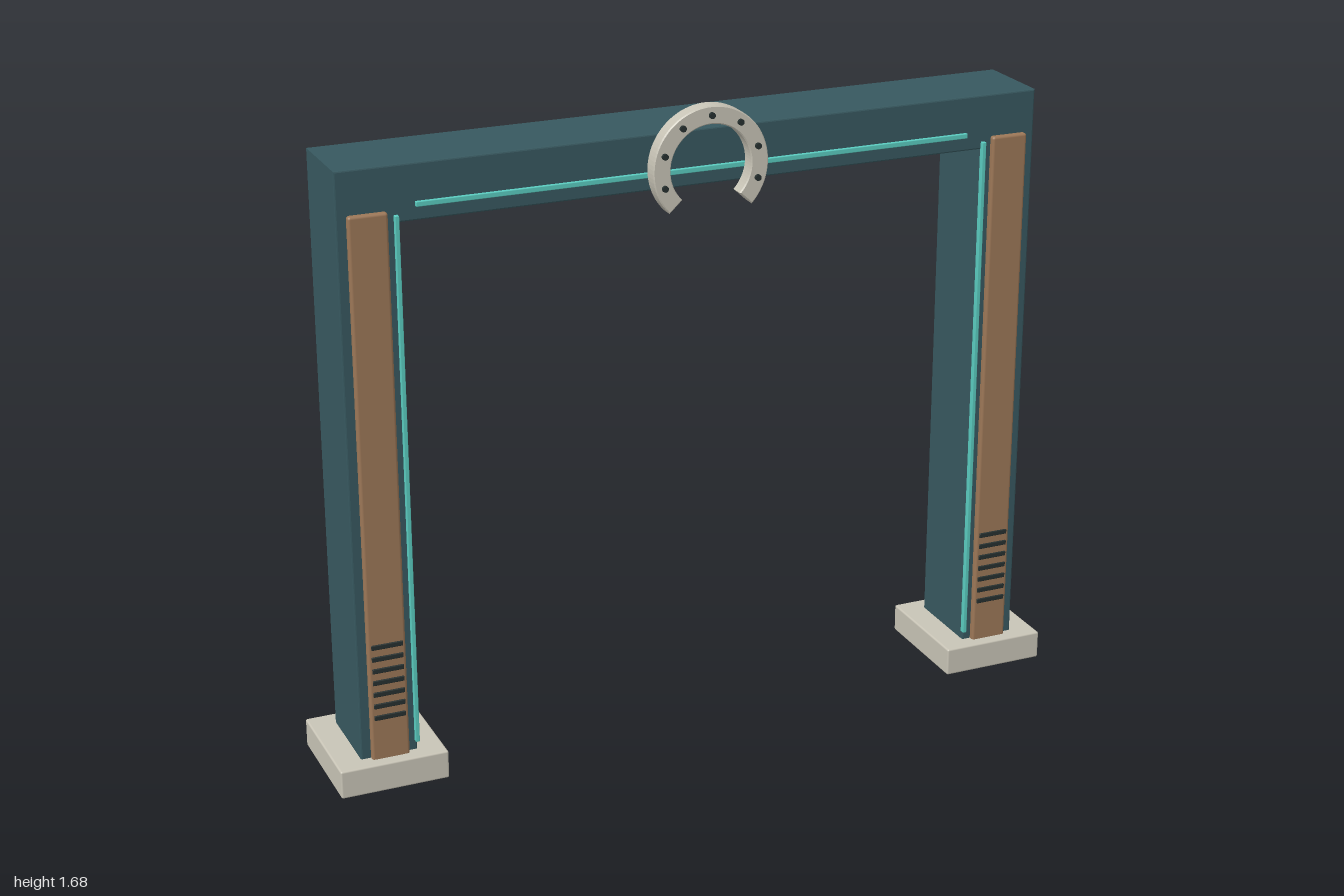
import * as THREE from 'three';
import { RoundedBoxGeometry } from 'three/addons/geometries/RoundedBoxGeometry.js';

const material = (color) => new THREE.MeshStandardMaterial({ color });

export function createModel() {
  const group = new THREE.Group();
  const teal = material(0x37585f);
  const brown = material(0x9c7757);
  const cream = material(0xc8c4b6);
  const cyan = material(0x5accc0);
  const dark = material(0x26302f);

  const add = (name, geometry, mat, x = 0, y = 0, z = 0) => {
    const mesh = new THREE.Mesh(geometry, mat);
    mesh.name = name;
    mesh.position.set(x, y, z);
    group.add(mesh);
    return mesh;
  };
  // Softened box given by its min and max on each axis
  const box = (name, mat, x0, x1, y0, y1, z0, z1, radius = 0.003) =>
    add(name, new RoundedBoxGeometry(x1 - x0, y1 - y0, z1 - z0, 2, radius), mat,
      (x0 + x1) / 2, (y0 + y1) / 2, (z0 + z1) / 2);

  // Gate frame: two legs and a lintel in one piece, with a small bevel
  const b = 0.004;
  const outer = 0.933 - b, inner = 0.784 + b;
  const outline = new THREE.Shape([
    [-outer, 0.03], [-inner, 0.03], [-inner, 1.47 + b], [inner, 1.47 + b],
    [inner, 0.03], [outer, 0.03], [outer, 1.612 - b], [-outer, 1.612 - b],
  ].map(([x, y]) => new THREE.Vector2(x, y)));
  add('frame', new THREE.ExtrudeGeometry(outline, {
    depth: 0.223 - 2 * b, bevelThickness: b, bevelSize: b, bevelSegments: 2,
  }), teal, 0, 0, -0.122 + b);

  for (const [side, s] of [['left', 1], ['right', -1]]) {
    const sideBox = (name, mat, x0, x1, ...rest) =>
      box(side + name, mat, Math.min(s * x0, s * x1), Math.max(s * x0, s * x1), ...rest);

    // Foot block
    sideBox('Foot', cream, 0.716, 1, 0, 0.076, -0.167, 0.146, 0.005);
    // Raised front panel
    sideBox('Panel', brown, 0.808, 0.907, 0.07, 1.502, 0.093, 0.116, 0.007);
    // Light strip along the inner edge
    sideBox('LightStrip', cyan, 0.78, 0.791, 0.1, 1.49, 0.097, 0.112, 0.002);
    // Vent slats
    for (let i = 0; i < 7; i++) {
      const y = 0.192 + i * 0.0325;
      sideBox('VentSlat', dark, 0.816, 0.898, y - 0.0065, y + 0.0065, 0.108, 0.12, 0.002);
    }
  }

  // Light strip along the lintel
  box('lintelLightStrip', cyan, -0.737, 0.737, 1.505, 1.518, 0.095, 0.109, 0.002);

  // Horseshoe: open ring with the gap at the bottom
  const start = THREE.MathUtils.degToRad(-43), end = Math.PI - start;
  const bevel = 0.003;
  const arc = new THREE.Shape();
  arc.absarc(0, 0, 0.153 - bevel, start, end, false);
  arc.absarc(0, 0, 0.107 + bevel, end, start, true);
  arc.closePath();
  add('horseshoe', new THREE.ExtrudeGeometry(arc, {
    depth: 0.041 - 2 * bevel, curveSegments: 32,
    bevelThickness: bevel, bevelSize: bevel, bevelSegments: 1,
  }), cream, 0, 1.53, 0.118 + bevel);

  // Nail heads around the horseshoe
  const nail = new THREE.CylinderGeometry(0.008, 0.008, 0.016, 10).rotateX(Math.PI / 2);
  for (let i = -3; i <= 3; i++) {
    const a = Math.PI / 2 + i * Math.PI / 5;
    add('horseshoeNail', nail, dark, 0.13 * Math.cos(a), 1.53 + 0.13 * Math.sin(a), 0.159);
  }

  return group;
}
